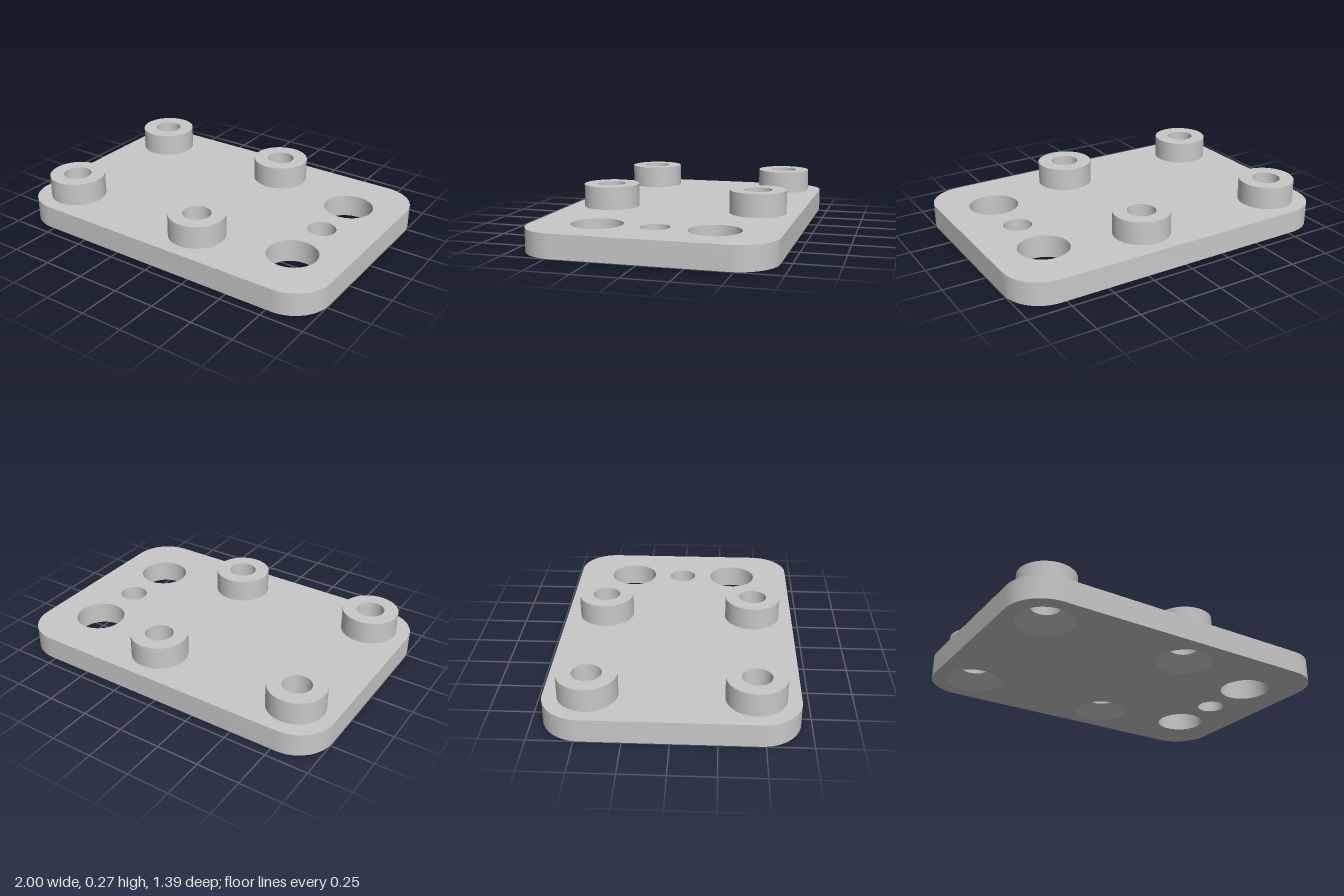
import * as THREE from 'three';
import { toCreasedNormals } from 'three/addons/utils/BufferGeometryUtils.js';

const W = 1, D = 0.693, R = 0.22;         // half width, half depth, corner radius
const T = 0.135, H = 0.27;                // plate thickness, total height
const BOSS = 0.165, BORE = 0.082, SINK = 0.085;
const SEG = 48;
const bosses = [-0.76, 0.14].flatMap(x => [-0.45, 0.45].map(z => [x, z]));
const holes = [[0.69, -0.33, 0.145], [0.69, 0, BORE], [0.69, 0.33, 0.145]];

// Rounded rectangle, without holes
function outline() {
  const s = new THREE.Shape();
  s.absarc(W - R, D - R, R, 0, Math.PI / 2);
  s.absarc(R - W, D - R, R, Math.PI / 2, Math.PI);
  s.absarc(R - W, R - D, R, Math.PI, Math.PI * 1.5);
  s.absarc(W - R, R - D, R, Math.PI * 1.5, Math.PI * 2);
  s.closePath();
  return s;
}

// Plate face, pierced by the plain holes and the boss openings
function face() {
  const s = outline();
  for (const [x, z, r] of [...holes, ...bosses.map(b => [...b, BOSS])]) {
    s.holes.push(new THREE.Path().absarc(x, z, r, 0, Math.PI * 2, true));
  }
  return new THREE.ShapeGeometry(s, SEG / 2);
}

// Outer wall of the plate: the side faces of an extrusion
function wall() {
  const solid = new THREE.ExtrudeGeometry(outline(), { depth: T, bevelEnabled: false, curveSegments: 16 });
  const side = solid.groups.find(g => g.materialIndex === 1);
  const p = solid.attributes.position.array.slice(side.start * 3, (side.start + side.count) * 3);
  const g = new THREE.BufferGeometry();
  g.setAttribute('position', new THREE.BufferAttribute(p, 3));
  return toCreasedNormals(g.rotateX(-Math.PI / 2), 0.5);
}

function turned(profile) {
  const pts = profile.map(p => new THREE.Vector2(...p));
  return toCreasedNormals(new THREE.LatheGeometry(pts, SEG), 0.5);
}

export function createModel() {
  const model = new THREE.Group();
  model.name = 'mountingPlate';
  const metal = new THREE.MeshStandardMaterial({ color: 0xc8c8c8 });
  metal.name = 'greyMetal';

  const add = (name, geometry, x = 0, y = 0, z = 0) => {
    const m = new THREE.Mesh(geometry, metal);
    m.name = name;
    m.position.set(x, y, z);
    model.add(m);
  };

  // Plate
  add('plateTop', face().rotateX(-Math.PI / 2), 0, T, 0);
  add('plateBottom', face().rotateX(Math.PI / 2));
  add('plateWall', wall());

  // Plain through holes
  for (const [x, z, r] of holes) add('holeWall', turned([[r, T], [r, 0]]), x, 0, z);

  // Bosses with a bore that opens into a countersink underneath
  const boss = turned([[BOSS, T], [BOSS, H], [BORE, H], [BORE, SINK], [BOSS, 0]]);
  for (const [x, z] of bosses) add('boss', boss, x, 0, z);

  return model;
}
